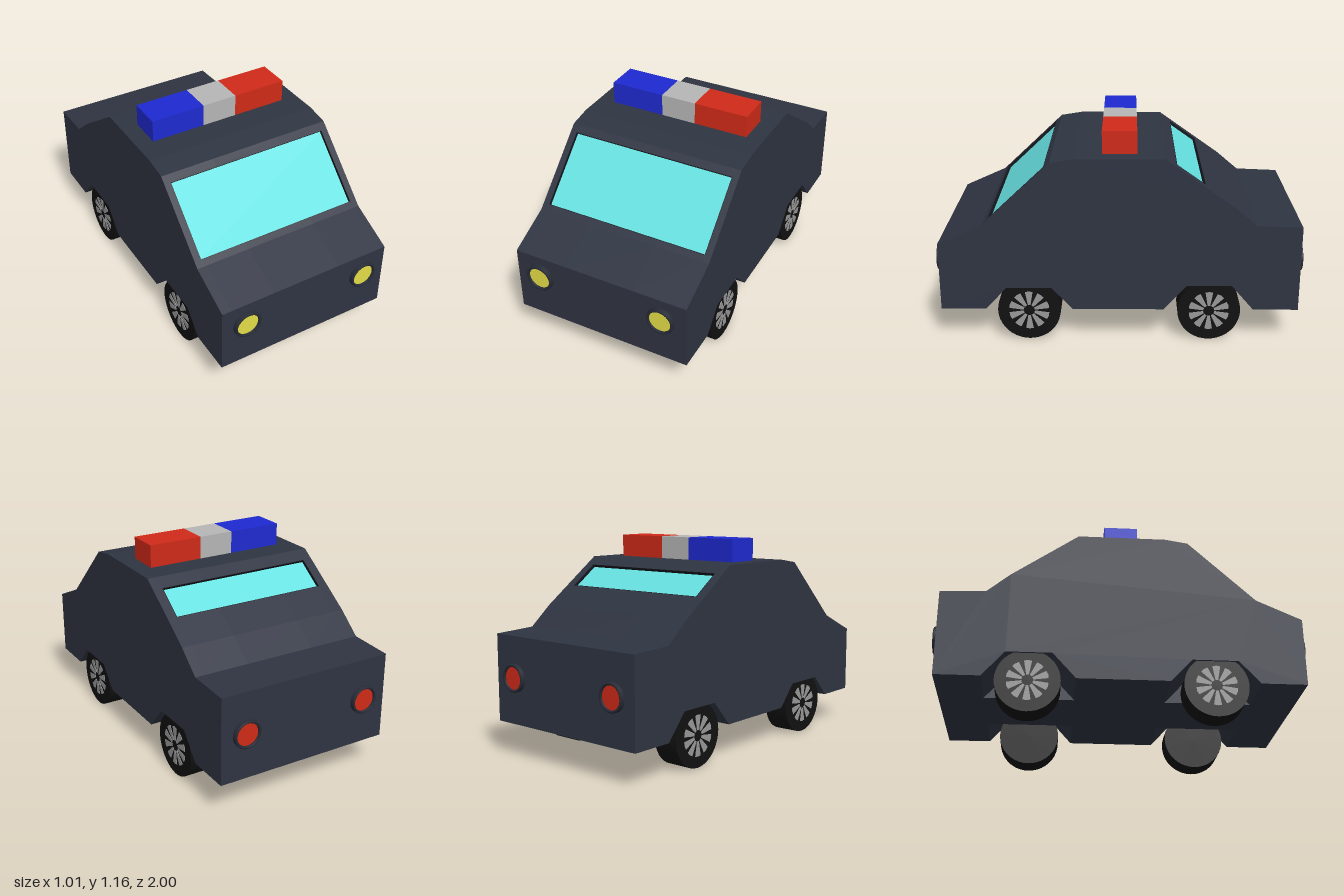
import * as THREE from 'three';

const mat = (color) => new THREE.MeshStandardMaterial({ color, flatShading: true });
const paint = mat(0x2f3442);
const trim = mat(0x14161c);
const glass = mat(0x66e0e0);
const tyre = new THREE.MeshStandardMaterial({ color: 0x111111 });
const spokeGrey = mat(0x999999);
const red = mat(0xd02a18);
const blue = mat(0x1e2ad0);
const grey = mat(0xb6b6b6);
const yellow = mat(0xe4dc48);

const RECESS = 0.02;
// Windows: the sloping panel (z, y) from a to b, the opening along it and its half width
const windows = [
  { name: 'windscreen', a: [0.73, 0.675], b: [0.365, 1.02], t0: 0.072, t1: 0.913, half: 0.47, dir: 1 },
  { name: 'rearWindow', a: [-0.24, 1.04], b: [-0.6, 0.785], t0: 0.167, t1: 0.597, half: 0.452, dir: -1 },
].map((w) => {
  const a = new THREE.Vector2(...w.a), b = new THREE.Vector2(...w.b);
  const d = b.clone().sub(a).normalize();
  const normal = new THREE.Vector2(d.y, -d.x); // outward for a counter-clockwise outline
  return { ...w, p: a.clone().lerp(b, w.t0), q: a.clone().lerp(b, w.t1), normal };
});

function add(parent, name, geometry, material, x = 0, y = 0, z = 0) {
  const mesh = new THREE.Mesh(geometry, material);
  mesh.name = name;
  mesh.position.set(x, y, z);
  parent.add(mesh);
  return mesh;
}

// Side outline of the car in (z, y), with optional wheel arches and window recesses
function bodyShape(arches, front, rear) {
  const notch = ({ p, q, normal }) => [
    p, p.clone().addScaledVector(normal, -RECESS), q.clone().addScaledVector(normal, -RECESS), q,
  ].map((v) => [v.x, v.y]);
  const points = [
    [0.975, 0.185], [0.975, 0.565], [0.73, 0.675],
    ...(front ? notch(windows[0]) : []),
    [0.365, 1.02], [0.24, 1.04], [-0.24, 1.04],
    ...(rear ? notch(windows[1]) : []),
    [-0.6, 0.785], [-0.73, 0.675], [-0.975, 0.665], [-0.975, 0.185],
    ...(arches ? [
      [-0.73, 0.185], [-0.61, 0.325], [-0.365, 0.325], [-0.24, 0.185],
      [0.255, 0.185], [0.37, 0.31], [0.615, 0.31], [0.73, 0.185],
    ] : []),
  ];
  return new THREE.Shape(points.map(([z, y]) => new THREE.Vector2(z, y)));
}

// One slice of the body between x0 and x1
function bodySlice(x0, x1, ...options) {
  const g = new THREE.ExtrudeGeometry(bodyShape(...options), { depth: x1 - x0, bevelEnabled: false });
  return g.rotateY(-Math.PI / 2).translate(x1, 0, 0);
}

function rectangle(Type, w, h) {
  return new Type([[-w, -h], [w, -h], [w, h], [-w, h]].map(([x, y]) => new THREE.Vector2(x, y)));
}

// Glass sunk in a dark frame, facing local +z
function makeWindow({ name, p, q, normal, half, dir }) {
  const group = new THREE.Group();
  group.name = name;
  const h = p.distanceTo(q) / 2;
  const frame = rectangle(THREE.Shape, half, h);
  frame.holes.push(rectangle(THREE.Path, half - 0.003, h - 0.003));
  add(group, name + 'Frame',
    new THREE.ExtrudeGeometry(frame, { depth: RECESS, bevelEnabled: false }), trim, 0, 0, -RECESS);
  add(group, name + 'Glass', new THREE.BoxGeometry(half * 2 - 0.006, h * 2 - 0.006, 0.004), glass, 0, 0, -RECESS + 0.002);
  group.position.set(0, (p.y + q.y) / 2, (p.x + q.x) / 2);
  group.rotation.order = 'YXZ';
  group.rotation.y = dir > 0 ? 0 : Math.PI;
  group.rotation.x = -Math.atan2(normal.y, Math.abs(normal.x));
  return group;
}

// Wheel with its outer face towards local +z
function makeWheel() {
  const wheel = new THREE.Group();
  add(wheel, 'tyre', new THREE.CylinderGeometry(0.172, 0.172, 0.143, 40).rotateX(Math.PI / 2), tyre);
  const wedge = new THREE.Shape([[-0.007, 0.03], [0.007, 0.03], [0.021, 0.108], [0, 0.112], [-0.021, 0.108]]
    .map(([x, y]) => new THREE.Vector2(x, y)));
  const spoke = new THREE.ExtrudeGeometry(wedge, { depth: 0.004, bevelEnabled: false });
  for (let i = 0; i < 10; i++) {
    add(wheel, 'spoke', spoke, spokeGrey, 0, 0, 0.07).rotation.z = (i * Math.PI) / 5;
  }
  return wheel;
}

// Round lamp with a raised rim, facing local +z
function makeLamp(name, material) {
  const lamp = new THREE.Group();
  lamp.name = name;
  const rim = [[0.077, -0.01], [0.077, 0.02], [0.073, 0.025], [0.066, 0.025], [0.062, 0.02], [0.062, 0]];
  add(lamp, 'lampRim', new THREE.LatheGeometry(rim.map(([r, y]) => new THREE.Vector2(r, y)), 32)
    .rotateX(Math.PI / 2), new THREE.MeshStandardMaterial({ color: 0x272b36, side: THREE.DoubleSide }));
  add(lamp, 'lens', new THREE.CylinderGeometry(0.063, 0.063, 0.02, 32).rotateX(Math.PI / 2), material, 0, 0, 0.004);
  return lamp;
}

export function createModel() {
  const car = new THREE.Group();
  car.name = 'patrolCar';

  // Body: a full middle slice and arched side slices
  const body = new THREE.Group();
  body.name = 'body';
  car.add(body);
  add(body, 'bodyMiddle', bodySlice(-0.2, 0.2, false, true, true), paint);
  for (const [x0, x1, front, rear] of [
    [0.2, 0.452, true, true], [0.452, 0.47, true, false], [0.47, 0.505, false, false],
  ]) {
    add(body, 'bodyLeft', bodySlice(x0, x1, true, front, rear), paint);
    add(body, 'bodyRight', bodySlice(-x1, -x0, true, front, rear), paint);
  }

  for (const w of windows) car.add(makeWindow(w));

  // Wheels and lamps, mirrored left and right
  for (const side of [1, -1]) {
    for (const [name, z] of [['frontWheel', 0.495], ['rearWheel', -0.49]]) {
      const wheel = makeWheel();
      wheel.name = name;
      wheel.position.set(side * 0.4215, 0.172, z);
      wheel.rotation.y = (side * Math.PI) / 2;
      car.add(wheel);
    }
    const headlight = makeLamp('headlight', yellow);
    headlight.position.set(side * 0.362, 0.44, 0.975);
    const tailLight = makeLamp('tailLight', red);
    tailLight.position.set(side * 0.362, 0.44, -0.975);
    tailLight.rotation.y = Math.PI;
    car.add(headlight, tailLight);
  }

  // Roof light bar
  const bar = new THREE.Group();
  bar.name = 'lightBar';
  bar.position.y = 1.1025;
  car.add(bar);
  add(bar, 'blueLight', new THREE.BoxGeometry(0.308, 0.125, 0.186), blue, -0.254);
  add(bar, 'barCentre', new THREE.BoxGeometry(0.2, 0.125, 0.186), grey);
  add(bar, 'redLight', new THREE.BoxGeometry(0.308, 0.125, 0.186), red, 0.254);

  return car;
}
